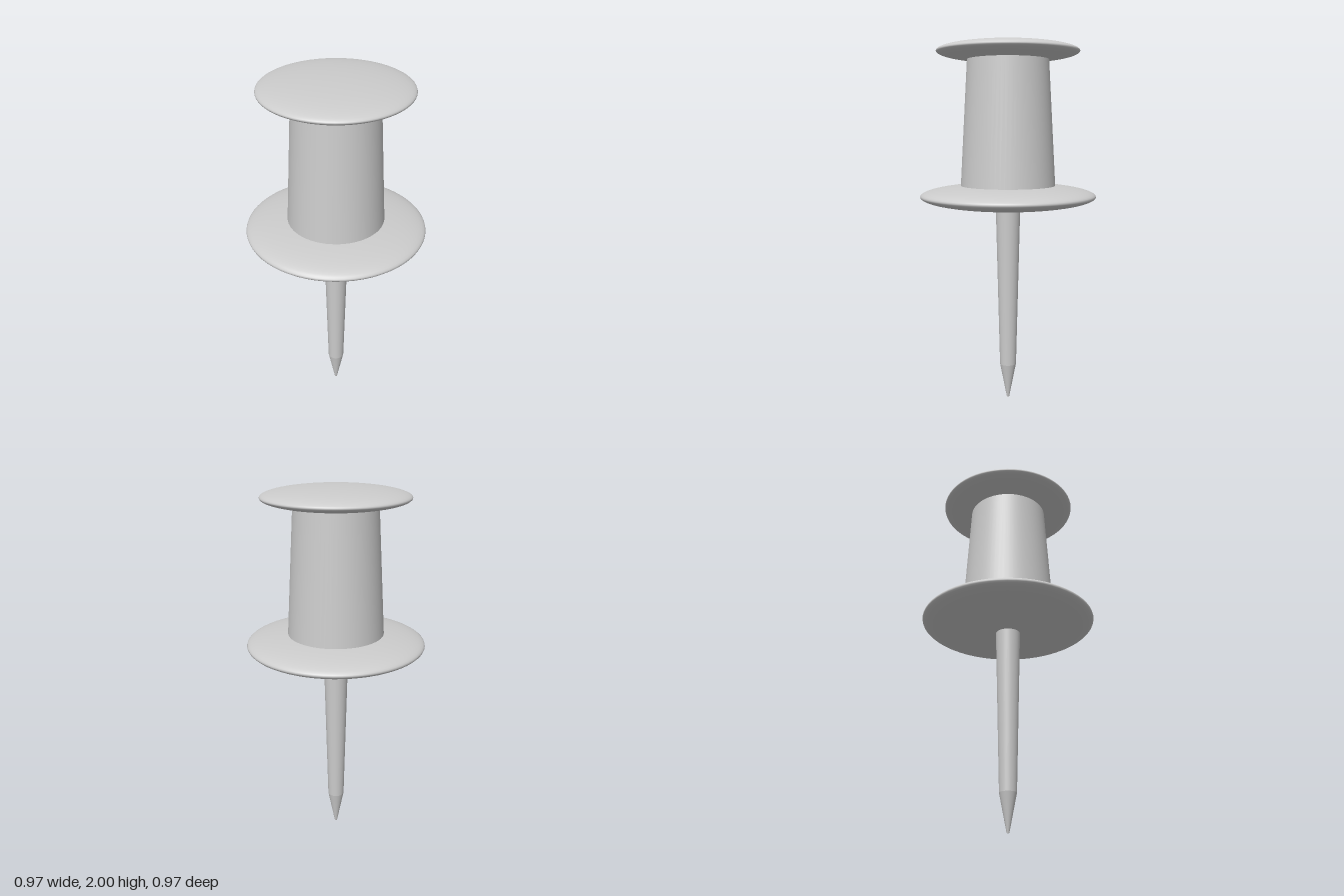
import * as THREE from 'three';

export function createModel() {
  const model = new THREE.Group();
  model.name = 'pushPin';
  const grey = new THREE.MeshStandardMaterial({ color: 0xcccccc });
  grey.name = 'light grey';

  const add = (name, geometry, y) => {
    const mesh = new THREE.Mesh(geometry, grey);
    mesh.name = name;
    mesh.position.y = y;
    model.add(mesh);
  };

  // Flattened sphere with smooth normals
  const disc = (radius, halfHeight) =>
    new THREE.SphereGeometry(1, 64, 32).scale(radius, halfHeight, radius);

  // Tapered round section spanning y0 to y1
  const taper = (name, rTop, rBottom, y0, y1, openEnded) =>
    add(name, new THREE.CylinderGeometry(rTop, rBottom, y1 - y0, 64, 1, openEnded), (y0 + y1) / 2);

  // Handle: domed cap, tapered grip and wide flange
  add('cap', disc(0.387, 0.052), 1.948);
  taper('grip', 0.22, 0.262, 1.2, 1.93, false);
  add('flange', disc(0.484, 0.069), 1.168);

  // Needle: long tapered shaft ending in a sharp point
  taper('needleShaft', 0.069, 0.046, 0.2, 1.14, true);
  taper('needlePoint', 0.046, 0.007, 0, 0.2, false);

  return model;
}
